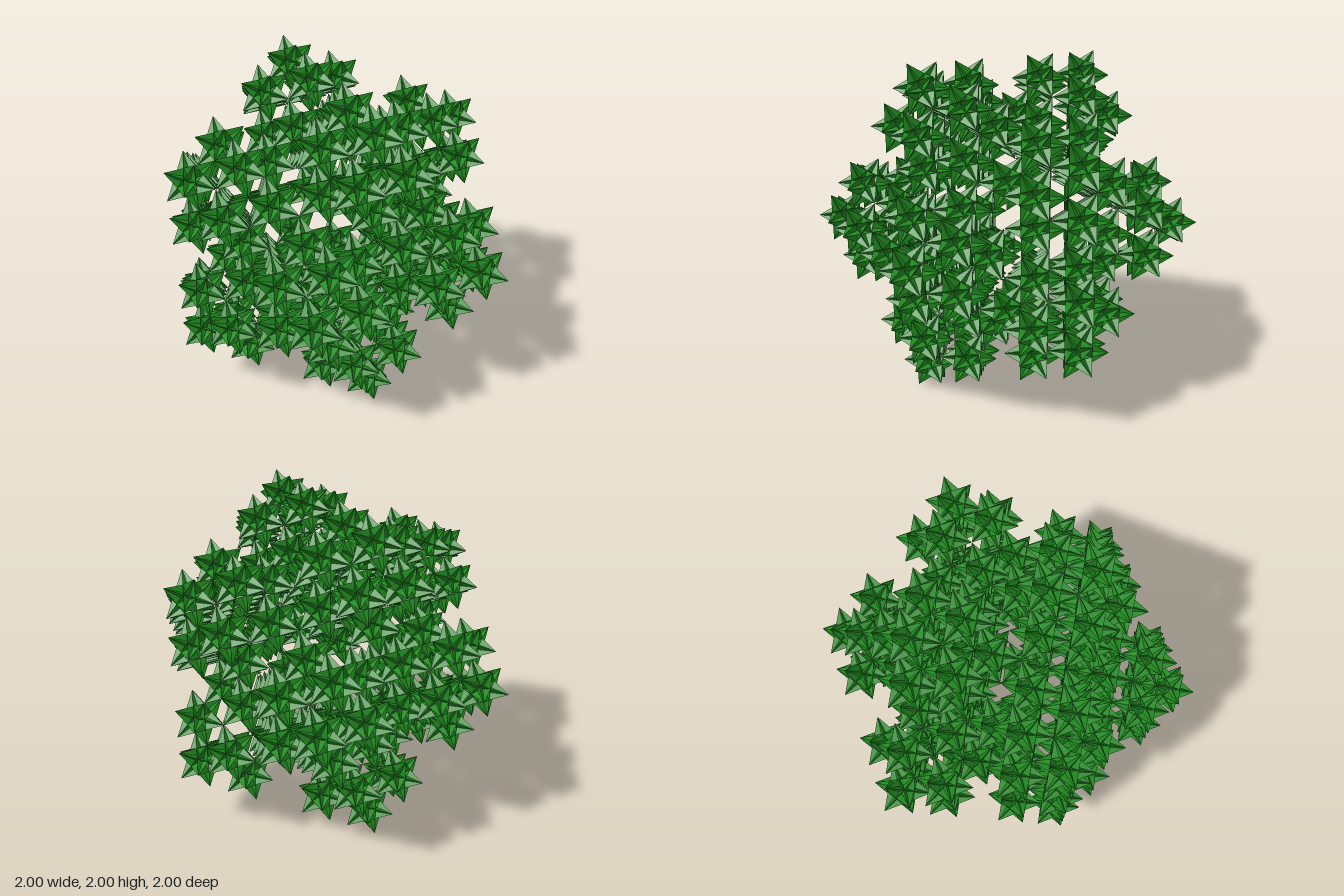
import * as THREE from 'three';

const PHI = (1 + Math.sqrt(5)) / 2;
const SHRINK = 1 / (PHI * PHI); // size ratio between one level and the next

// Twelve icosahedron corners, reaching 1 along every axis
function icosahedronCorners() {
  const corners = [];
  for (const a of [-1, 1]) {
    for (const b of [-1, 1]) {
      const s = a, t = b / PHI;
      corners.push(
        new THREE.Vector3(0, s, t),
        new THREE.Vector3(s, t, 0),
        new THREE.Vector3(t, 0, s)
      );
    }
  }
  return corners;
}

// Great icosahedron: twenty large crossing triangles between second-neighbour corners
function starGeometry(corners, size) {
  const positions = [];
  const linked = (p, q) => Math.abs(p.distanceTo(q) - 2) < 0.01;
  for (let i = 0; i < 12; i++) {
    for (let j = i + 1; j < 12; j++) {
      for (let k = j + 1; k < 12; k++) {
        const a = corners[i];
        let b = corners[j], c = corners[k];
        if (!linked(a, b) || !linked(b, c) || !linked(a, c)) continue;
        // Wind each face outwards
        const normal = b.clone().sub(a).cross(c.clone().sub(a));
        if (normal.dot(a) < 0) [b, c] = [c, b];
        for (const p of [a, b, c]) positions.push(p.x * size, p.y * size, p.z * size);
      }
    }
  }
  const geometry = new THREE.BufferGeometry();
  geometry.setAttribute('position', new THREE.Float32BufferAttribute(positions, 3));
  geometry.computeVertexNormals();
  return geometry;
}

export function createModel() {
  const corners = icosahedronCorners();
  const geometry = starGeometry(corners, SHRINK * SHRINK);
  const material = new THREE.MeshStandardMaterial({
    color: 0x228b22,
    flatShading: true,
    side: THREE.DoubleSide
  });

  // Twelve clusters of twelve stars, both set out on icosahedron corners
  const model = new THREE.Group();
  model.name = 'starFractal';
  corners.forEach((clusterCorner, i) => {
    const cluster = new THREE.Group();
    cluster.name = `starCluster${i + 1}`;
    cluster.position.copy(clusterCorner).multiplyScalar(1 - SHRINK);
    corners.forEach((starCorner, j) => {
      const star = new THREE.Mesh(geometry, material);
      star.name = `star${j + 1}`;
      star.position.copy(starCorner).multiplyScalar((1 - SHRINK) * SHRINK);
      cluster.add(star);
    });
    model.add(cluster);
  });
  model.position.y = 1;
  return model;
}
